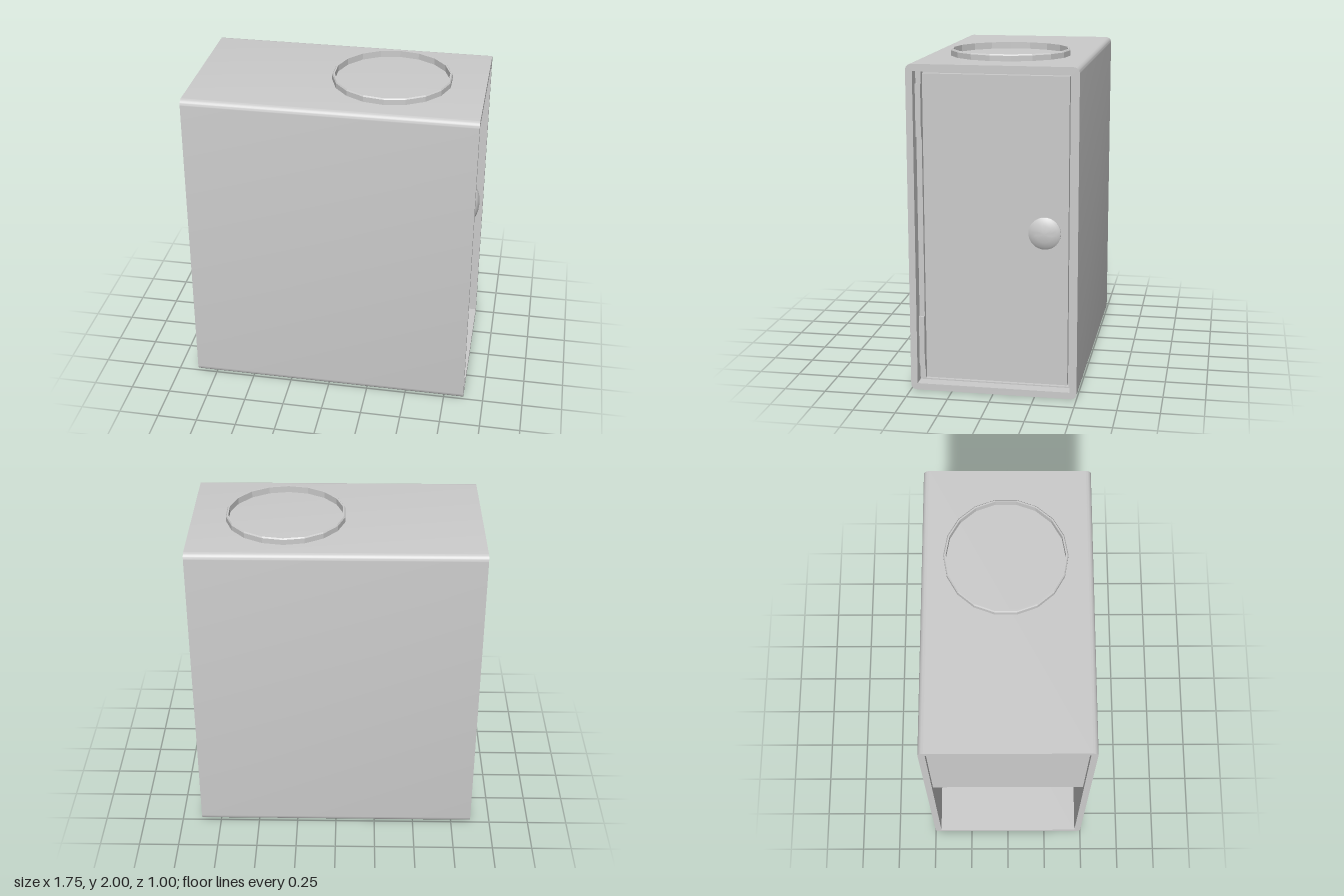
import * as THREE from 'three';
import { toCreasedNormals } from 'three/addons/utils/BufferGeometryUtils.js';

const material = new THREE.MeshStandardMaterial({ color: 0xcccccc });
const flat = new THREE.MeshStandardMaterial({ color: 0xcccccc, flatShading: true });

function add(parent, name, geometry, mat = material) {
  const mesh = new THREE.Mesh(geometry, mat);
  mesh.name = name;
  parent.add(mesh);
  return mesh;
}

// Box given by its limits on each axis
function boxBetween(x0, x1, y0, y1, z0, z1) {
  return new THREE.BoxGeometry(x1 - x0, y1 - y0, z1 - z0)
    .translate((x0 + x1) / 2, (y0 + y1) / 2, (z0 + z1) / 2);
}

// Rectangle in the end plane (shape x is -z of the model), corners optionally rounded
function rect(path, z0, z1, y0, y1, r = 0) {
  const a = -z1, b = -z0;
  path.moveTo(a + r, y0).lineTo(b - r, y0);
  if (r) path.absarc(b - r, y0 + r, r, -Math.PI / 2, 0);
  else path.lineTo(b, y0);
  path.lineTo(b, y1 - r);
  if (r) path.absarc(b - r, y1 - r, r, 0, Math.PI / 2);
  path.lineTo(a + r, y1);
  if (r) path.absarc(a + r, y1 - r, r, Math.PI / 2, Math.PI);
  path.lineTo(a, y0 + r);
  if (r) path.absarc(a + r, y0 + r, r, Math.PI, Math.PI * 1.5);
  path.closePath();
  return path;
}

// Extrude a shape along x from x0 to x1
function extrudeX(shape, x0, x1) {
  return new THREE.ExtrudeGeometry(shape, { depth: x1 - x0, bevelEnabled: false, curveSegments: 4 })
    .rotateY(Math.PI / 2).translate(x0, 0, 0);
}

export function createModel() {
  const model = new THREE.Group();
  model.name = 'cabinet';

  // Outer sleeve, open at both ends
  const sleeve = rect(new THREE.Shape(), -0.5, 0.5, 0, 1.96, 0.035);
  sleeve.holes.push(rect(new THREE.Path(), -0.46, 0.46, 0.04, 1.92));
  add(model, 'sleeve', toCreasedNormals(extrudeX(sleeve, -0.875, 0.875), 0.6));

  // Open end: upper compartment above a deep recess
  add(model, 'upperCompartment', boxBetween(-0.845, -0.36, 1.11, 1.92, -0.46, 0.46));
  add(model, 'recessBack', boxBetween(-0.36, -0.33, 0.04, 1.92, -0.46, 0.46));

  // Door end: frame, backing and door with a thin gap around it
  const frame = rect(new THREE.Shape(), -0.46, 0.46, 0.04, 1.92);
  frame.holes.push(rect(new THREE.Path(), -0.443, 0.428, 0.047, 1.907));
  add(model, 'doorFrame', extrudeX(frame, 0.76, 0.8));
  add(model, 'doorBacking', boxBetween(0.74, 0.76, 0.04, 1.92, -0.46, 0.46));
  const door = new THREE.Group();
  door.name = 'door';
  model.add(door);
  add(door, 'doorPanel', boxBetween(0.76, 0.803, 0.057, 1.898, -0.435, 0.42));

  // Hinges
  for (const y of [0.285, 1.685]) {
    add(door, 'hinge', boxBetween(0.79, 0.818, y - 0.155, y + 0.155, 0.428, 0.462));
  }

  // Round knob with a domed face
  const knobProfile = [[0.05, 0], [0.05, 0.02], [0.095, 0.025], [0.095, 0.035],
    [0.08, 0.045], [0.05, 0.054], [0.025, 0.058], [0, 0.06]]
    .map(([r, h]) => new THREE.Vector2(r, h));
  const knob = add(door, 'knob',
    toCreasedNormals(new THREE.LatheGeometry(knobProfile, 32).rotateZ(-Math.PI / 2), 0.6));
  knob.position.set(0.802, 0.99, -0.3);

  // Raised faceted rim on top
  const rimProfile = [[0.363, 0], [0.363, 0.042], [0.357, 0.05], [0.348, 0.05], [0.348, 0]]
    .map(([r, h]) => new THREE.Vector2(r, h));
  const rim = add(model, 'topRim', new THREE.LatheGeometry(rimProfile, 18), flat);
  rim.position.set(0.307, 1.95, -0.01);

  return model;
}
